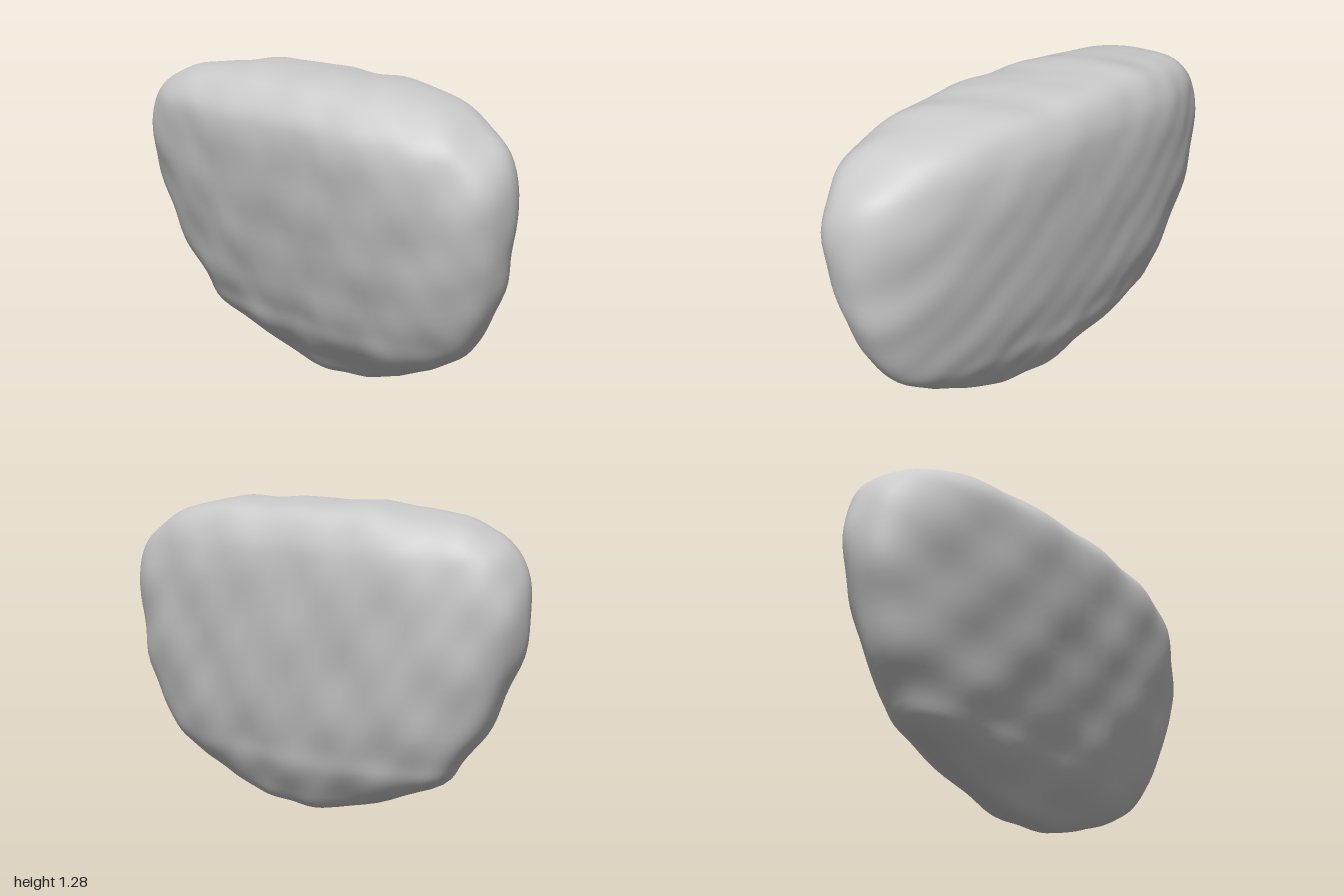
import * as THREE from 'three';

// Silhouette by height: [y, xMin, xMax, zMin, zMax]
const LEVELS = [
  [0, 0.06, 0.06, 0.1, 0.1],
  [0.02, 0.0, 0.11, -0.17, 0.27],
  [0.09, -0.05, 0.155, -0.42, 0.5],
  [0.19, -0.125, 0.21, -0.65, 0.7],
  [0.28, -0.16, 0.235, -0.74, 0.81],
  [0.4, -0.205, 0.265, -0.84, 0.88],
  [0.56, -0.25, 0.295, -0.91, 0.955],
  [0.72, -0.29, 0.315, -0.97, 0.985],
  [0.9, -0.325, 0.335, -0.995, 0.995],
  [1.04, -0.34, 0.338, -0.97, 0.95],
  [1.13, -0.33, 0.33, -0.91, 0.86],
  [1.205, -0.275, 0.295, -0.79, 0.72],
  [1.25, -0.21, 0.24, -0.6, 0.53],
  [1.272, -0.11, 0.15, -0.36, 0.28],
  [1.28, 0.03, 0.03, -0.04, -0.04],
];
const ROWS = 56, SEGMENTS = 96, SQUARENESS = 2.4;

// Gentle uneven lumps over the stone
function lump(x, y, z) {
  return 0.005 * Math.sin(9 * z + 5 * y + 1) * Math.cos(8 * y - 6 * x)
    + 0.004 * Math.sin(17 * z - 11 * y + 9 * x + 2)
    + 0.003 * Math.cos(23 * y + 14 * z) * Math.sin(19 * x + 13 * z);
}

function stoneGeometry() {
  const low = new THREE.CatmullRomCurve3(
    LEVELS.map(([y, x0, , z0]) => new THREE.Vector3(x0, y, z0)), false, 'catmullrom', 0.5);
  const high = new THREE.CatmullRomCurve3(
    LEVELS.map(([y, , x1, , z1]) => new THREE.Vector3(x1, y, z1)), false, 'catmullrom', 0.5);
  const power = (v) => Math.sign(v) * Math.abs(v) ** (2 / SQUARENESS);
  const positions = [], index = [];

  // Rounded oval rings between the two end points
  positions.push(0.06, 0, 0.1);
  for (let r = 1; r < ROWS; r++) {
    const a = low.getPoint(r / ROWS), b = high.getPoint(r / ROWS);
    for (let s = 0; s < SEGMENTS; s++) {
      const angle = (s / SEGMENTS) * Math.PI * 2;
      positions.push(
        (a.x + b.x) / 2 + (b.x - a.x) / 2 * power(Math.cos(angle)),
        a.y,
        (a.z + b.z) / 2 + (b.z - a.z) / 2 * power(Math.sin(angle)));
    }
  }
  positions.push(0.03, 1.28, -0.04);

  const last = positions.length / 3 - 1;
  const at = (r, s) => 1 + (r - 1) * SEGMENTS + (s % SEGMENTS);
  for (let s = 0; s < SEGMENTS; s++) {
    index.push(0, at(1, s), at(1, s + 1));
    for (let r = 1; r < ROWS - 1; r++) {
      index.push(at(r, s), at(r + 1, s), at(r, s + 1));
      index.push(at(r, s + 1), at(r + 1, s), at(r + 1, s + 1));
    }
    index.push(at(ROWS - 1, s), last, at(ROWS - 1, s + 1));
  }

  const geometry = new THREE.BufferGeometry();
  geometry.setAttribute('position', new THREE.Float32BufferAttribute(positions, 3));
  geometry.setIndex(index);
  geometry.computeVertexNormals();

  // Push each point along its normal to roughen the surface
  const p = geometry.attributes.position, n = geometry.attributes.normal;
  for (let i = 0; i < p.count; i++) {
    const x = p.getX(i), y = p.getY(i), z = p.getZ(i), d = lump(x, y, z);
    p.setXYZ(i, x + n.getX(i) * d, Math.max(0, y + n.getY(i) * d), z + n.getZ(i) * d);
  }
  geometry.computeVertexNormals();
  return geometry;
}

export function createModel() {
  const group = new THREE.Group();
  group.name = 'rock';
  const stone = new THREE.Mesh(stoneGeometry(),
    new THREE.MeshStandardMaterial({ color: 0xcccccc }));
  stone.name = 'stone';
  group.add(stone);
  return group;
}
